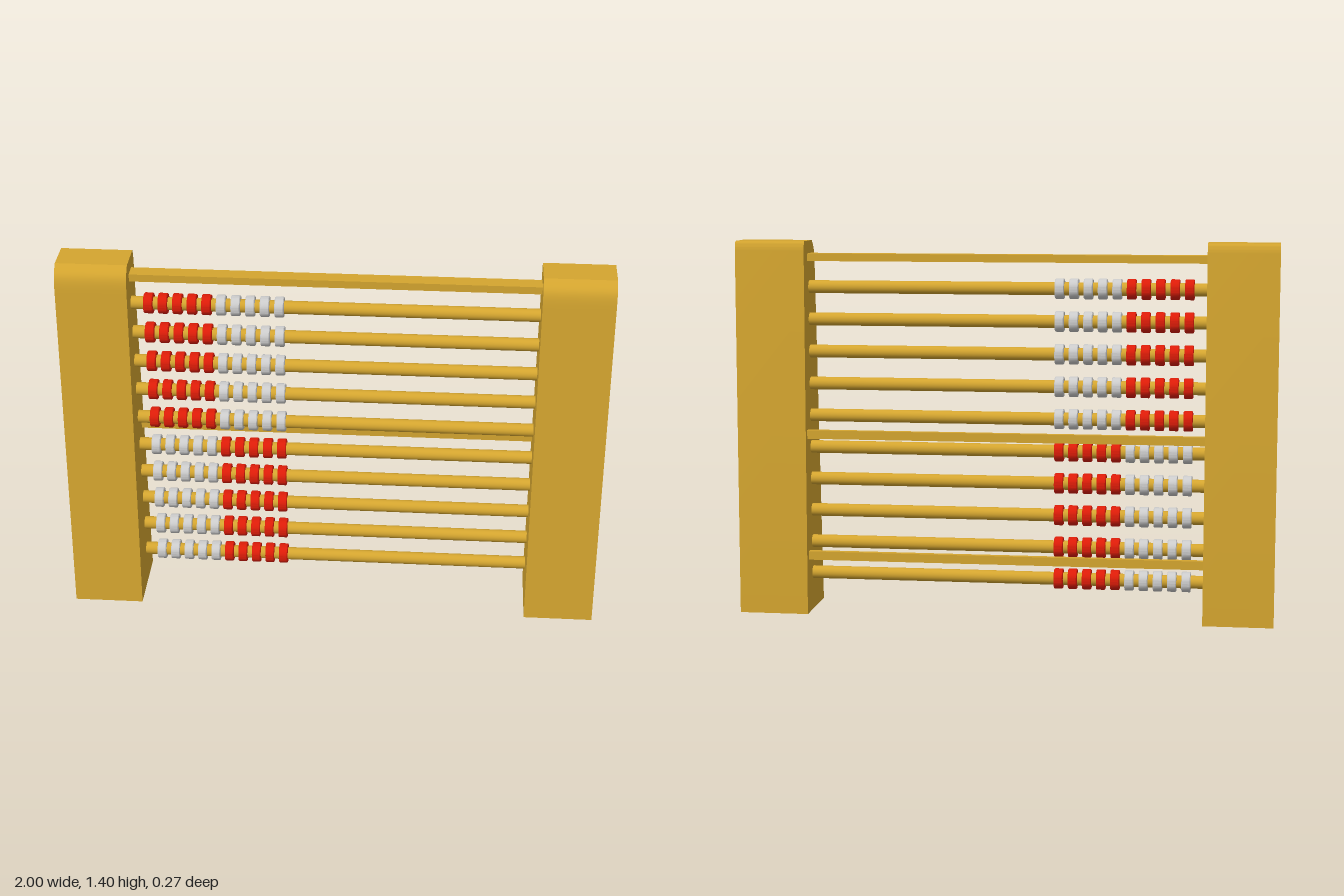
import * as THREE from 'three';
import { toCreasedNormals } from 'three/addons/utils/BufferGeometryUtils.js';

const wood = new THREE.MeshStandardMaterial({ color: 0xd4a52f });
const red = new THREE.MeshStandardMaterial({ color: 0xdd1c08 });
const grey = new THREE.MeshStandardMaterial({ color: 0xcccccc });

const INNER = 0.74; // inner face of the side posts
const ROD_Z = -0.028;

function add(parent, name, geometry, material, x, y, z) {
  const mesh = new THREE.Mesh(geometry, material);
  mesh.name = name;
  mesh.position.set(x, y, z);
  parent.add(mesh);
}

// Tapered post: side profile (z, y) extruded along x
function postGeometry() {
  const s = new THREE.Shape();
  s.moveTo(0.137, 0);
  s.lineTo(0.059, 1.3);
  s.bezierCurveTo(0.055, 1.37, 0.047, 1.37, 0.017, 1.4);
  s.lineTo(-0.105, 1.4);
  s.quadraticCurveTo(-0.115, 1.39, -0.117, 1.36);
  s.lineTo(-0.134, 0);
  s.closePath();
  const g = new THREE.ExtrudeGeometry(s, { depth: 0.26, bevelEnabled: false, curveSegments: 10 });
  g.translate(0, 0, -0.13);
  g.rotateY(-Math.PI / 2);
  return toCreasedNormals(g, 0.5);
}

// Ring bead with slightly eased edges, its axis along x
function beadGeometry() {
  const r = 0.038, h = 0.017, b = 0.003;
  const profile = [[0.022, -h], [r - b, -h], [r, -h + b], [r, h - b], [r - b, h], [0.022, h]]
    .map(([x, y]) => new THREE.Vector2(x, y));
  const g = new THREE.LatheGeometry(profile, 24);
  g.rotateZ(Math.PI / 2);
  return toCreasedNormals(g, 0.5);
}

export function createModel() {
  const model = new THREE.Group();
  model.name = 'abacus';

  // Side posts
  const post = postGeometry();
  add(model, 'leftPost', post, wood, 0.87, 0, 0);
  add(model, 'rightPost', post, wood, -0.87, 0, 0);

  // Flat top rail and two back rails
  const length = 2 * INNER + 0.02;
  add(model, 'topRail', new THREE.BoxGeometry(length, 0.028, 0.058), wood, 0, 1.339, -0.033);
  const backRail = new THREE.BoxGeometry(length, 0.032, 0.025);
  add(model, 'middleBackRail', backRail, wood, 0, 0.68, -0.09);
  add(model, 'lowerBackRail', backRail, wood, 0, 0.219, -0.09);

  // Ten rods with ten beads each; colours swap on the lower half
  const rod = new THREE.CylinderGeometry(0.024, 0.024, length, 24);
  rod.rotateZ(Math.PI / 2);
  const bead = beadGeometry();
  for (let row = 0; row < 10; row++) {
    const rowGroup = new THREE.Group();
    rowGroup.name = 'beadRow';
    rowGroup.position.set(0, 0.141 + row * 0.1208, ROD_Z);
    add(rowGroup, 'rod', rod, wood, 0, 0, 0);
    for (let i = 0; i < 10; i++) {
      const isRed = (row >= 5) === (i < 5);
      add(rowGroup, 'bead', bead, isRed ? red : grey, -0.676 + i * 0.0529, 0, 0);
    }
    model.add(rowGroup);
  }
  return model;
}
